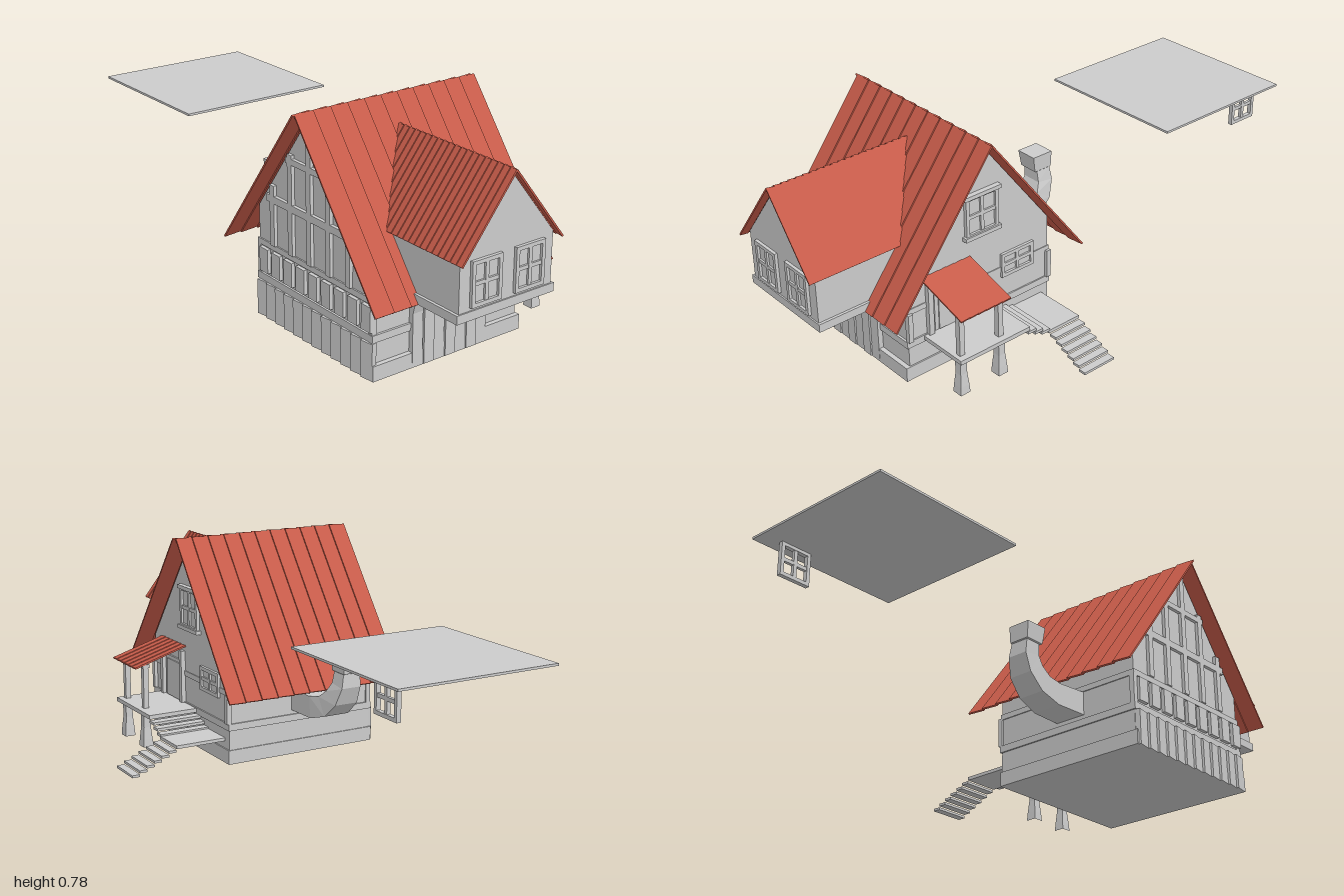
import * as THREE from 'three';

const grey = new THREE.MeshStandardMaterial({ color: 0xcccccc, flatShading: true });
const red = new THREE.MeshStandardMaterial({ color: 0xc85c4a, flatShading: true });

function add(parent, name, geo, mat = grey) {
  const m = new THREE.Mesh(geo, mat);
  m.name = name;
  parent.add(m);
  return m;
}

// Box given by its min and max on each axis
function box(parent, name, x0, x1, y0, y1, z0, z1, mat = grey) {
  const m = add(parent, name, new THREE.BoxGeometry(x1 - x0, y1 - y0, z1 - z0), mat);
  m.position.set((x0 + x1) / 2, (y0 + y1) / 2, (z0 + z1) / 2);
  return m;
}

function group(parent, name) {
  const g = new THREE.Group();
  g.name = name;
  parent.add(g);
  return g;
}

const shapeOf = pts => new THREE.Shape(pts.map(p => new THREE.Vector2(...p)));
const extrude = (pts, depth) => new THREE.ExtrudeGeometry(shapeOf(pts), { depth, bevelEnabled: false });
// Profile in (z, y) extruded from x0 to x1
const extrudeX = (pts, x0, x1) => extrude(pts, x1 - x0).rotateY(-Math.PI / 2).translate(x1, 0, 0);

// Framed window with crossing bars, facing +z before it is turned
function makeWindow(parent, name, w, h, x, y, z, turn = 0, glazed = true, sill = false) {
  const g = group(parent, name);
  const t = 0.013, d = 0.008;
  for (const s of [-1, 1]) {
    const cx = s * (w - t) / 2, cy = s * (h - t) / 2;
    box(g, 'windowSide', cx - t / 2, cx + t / 2, -h / 2, h / 2, -d, d);
    box(g, 'windowRail', -w / 2, w / 2, cy - t / 2, cy + t / 2, -d, d);
  }
  box(g, 'windowMullion', -t / 2, t / 2, -h / 2, h / 2, -d * 0.8, d * 0.8);
  box(g, 'windowBar', -w / 2, w / 2, -t / 2, t / 2, -d * 0.7, d * 0.7);
  if (glazed) box(g, 'windowPane', -w / 2, w / 2, -h / 2, h / 2, -d, -d * 0.1);
  if (sill) for (const s of [-1, 1])
    box(g, 'windowSill', -w / 2 - 0.008, w / 2 + 0.008, s * h / 2 - 0.007, s * h / 2 + 0.007, -d, d + 0.006);
  g.position.set(x, y, z);
  g.rotation.y = turn;
  return g;
}

// Thin board between two points in the (u, y) plane; along is the board's width axis, 'x' or 'z'
function board(parent, name, a, b, at, width, along, tilt) {
  const len = Math.hypot(b[0] - a[0], b[1] - a[1]);
  const ang = Math.atan2(b[1] - a[1], b[0] - a[0]);
  const geo = new THREE.BoxGeometry(len, 0.006, width);
  geo.rotateX(tilt).rotateZ(ang).translate((a[0] + b[0]) / 2, (a[1] + b[1]) / 2, 0);
  if (along === 'x') geo.rotateY(-Math.PI / 2);
  geo.translate(along === 'x' ? at : 0, 0, along === 'x' ? 0 : at);
  return add(parent, name, geo, red);
}

const RIDGE_Y = 0.778, SLOPE = 0.525 / 0.4;
const roofY = z => RIDGE_Y - Math.abs(z - 0.4) * SLOPE;

function buildBody(root) {
  const g = group(root, 'house');
  const wallTop = roofY(0.71) - 0.012;
  add(g, 'walls', extrudeX([[0.11, 0], [0.71, 0], [0.71, wallTop], [0.4, RIDGE_Y - 0.012], [0.11, roofY(0.11) - 0.012]], -0.445, 0.145));
  box(g, 'plinth', -0.455, 0.15, 0, 0.052, 0.106, 0.727);
  box(g, 'band', -0.452, 0.15, 0.125, 0.15, 0.104, 0.718);
  box(g, 'upperBand', -0.45, 0.148, 0.25, 0.27, 0.106, 0.714);
  for (const x of [-0.45, 0.14]) for (const z of [0.104, 0.697])
    box(g, 'cornerPost', x, x + 0.018, 0.15, 0.255, z, z + 0.018);

  // Leaning cladding boards and timber frame on the -x wall
  const n = 12, pitch = 0.61 / n;
  for (let i = 0; i < n; i++) {
    const p = box(g, 'cladding', -0.459, -0.441, 0, 0.125, 0, pitch * 0.96);
    p.position.z = 0.112 + pitch * (i + 0.5);
    p.rotation.y = 0.16;
  }
  for (let i = 0; i < 9; i++) {
    const z = 0.125 + i * 0.068;
    box(g, 'sidePanel', -0.458, -0.44, 0.16, 0.245, z, z + 0.046);
  }
  for (const z of [0.2, 0.3, 0.4, 0.5, 0.6])
    box(g, 'timberStud', -0.457, -0.44, 0.27, roofY(z) - 0.035, z - 0.012, z + 0.012);
  box(g, 'timberBeam', -0.457, -0.44, 0.42, 0.445, 0.17, 0.63);
  box(g, 'timberBeam', -0.457, -0.44, 0.58, 0.6, 0.28, 0.52);

  // Windows and door on the +x wall
  makeWindow(g, 'gableWindow', 0.135, 0.15, 0.15, 0.515, 0.4, Math.PI / 2, true, true);
  makeWindow(g, 'sideWindow', 0.14, 0.09, 0.147, 0.2, 0.25, Math.PI / 2).position.y = 0.275;
  box(g, 'doorFrame', 0.14, 0.152, 0.15, 0.305, 0.465, 0.605);
  box(g, 'door', 0.14, 0.156, 0.15, 0.292, 0.48, 0.59);
}

function buildRoof(root) {
  const g = group(root, 'mainRoof');
  const n = 11, w = 0.715 / n;
  for (const s of [-1, 1]) for (let i = 0; i < n; i++) {
    const x = (s > 0 ? -0.503 : -0.513) + w * (i + 0.5);
    board(g, 'roofBoard', [0.4, RIDGE_Y], [0.4 + s * 0.4, 0.255], x, w * 1.06, 'x', 0.07 * s);
  }
}

function buildDormer(root) {
  const g = group(root, 'dormer');
  add(g, 'dormerWalls', extrude([[-0.335, 0.262], [0.035, 0.262], [0.035, 0.457], [-0.15, 0.69], [-0.335, 0.457]], 0.49).translate(0, 0, 0.48));
  box(g, 'dormerSill', -0.345, 0.045, 0.256, 0.285, 0.7, 0.975);
  for (const x of [-0.235, -0.0625]) {
    makeWindow(g, 'dormerWindow', 0.118, 0.148, x, 0.37, 0.973);
  }
  // Roof strips, each cut where it meets the main slope
  const n = 20, z0 = 0.465, w = (0.998 - z0) / n;
  for (const s of [-1, 1]) for (let i = 0; i < n; i++) {
    const z = z0 + w * (i + 0.5);
    const low = Math.max(0.445, roofY(z) - 0.012);
    const t = Math.min(1, (0.7 - low) / 0.255);
    if (t > 0.02) board(g, 'dormerRoofBoard', [-0.15, 0.698], [-0.15 + s * 0.2 * t, 0.698 - 0.253 * t], z, w * 1.08, 'z', 0.12);
  }
  // Flared boards carrying the dormer
  const pitch = 0.305 / 7;
  for (let i = 0; i < 7; i++) {
    const o = 0.728 + (i % 2) * 0.004, x = -0.303 + i * pitch;
    add(g, 'bracketBoard', extrudeX([[0.7, 0.003], [o, 0.003], [o, 0.185], [o + 0.008, 0.215],
      [o + 0.028, 0.242], [o + 0.07, 0.258], [0.7, 0.258]], x + 0.001, x + pitch - 0.002));
  }
}

function buildPorch(root) {
  const g = group(root, 'porch');
  box(g, 'deck', 0.145, 0.34, 0.132, 0.147, 0.36, 0.65);
  for (const z of [0.465, 0.625]) {
    // Square flared leg with a slim post above
    const profile = [[0.028, 0], [0.025, 0.03], [0.019, 0.075], [0.019, 0.135]];
    const leg = add(g, 'porchLeg', new THREE.LatheGeometry(profile.map(p => new THREE.Vector2(...p)), 4).rotateY(Math.PI / 4));
    leg.position.set(0.307, 0, z);
    box(g, 'porchPost', 0.297, 0.317, 0.135, 0.312, z - 0.01, z + 0.01);
    box(g, 'postCap', 0.294, 0.32, 0.3, 0.313, z - 0.014, z + 0.014);
    box(g, 'wallPost', 0.145, 0.162, 0.147, 0.345, z - 0.01, z + 0.01);
  }
  for (let i = 0; i < 6; i++)
    board(g, 'porchRoofBoard', [0.145, 0.364], [0.35, 0.303], 0.45 + 0.2 * (i + 0.5) / 6, 0.036, 'z', 0.08);
  // Steps down to the landing, then the outer stair
  for (let i = 0; i < 3; i++)
    box(g, 'sideStep', 0.147, 0.338, 0.117 - i * 0.0145, 0.127 - i * 0.0145, 0.33 - i * 0.03, 0.365 - i * 0.03);
  box(g, 'landing', 0.147, 0.34, 0.08, 0.092, 0.14, 0.275);
  for (let i = 0; i < 6; i++)
    box(g, 'stairStep', 0.341 + i * 0.0285, 0.37 + i * 0.0285, 0.068 - i * 0.0132, 0.077 - i * 0.0132, 0.14, 0.272);
}

// Square bent stovepipe: cross-sections swept along a short path in the z-y plane
function buildChimney(root) {
  const g = group(root, 'chimney');
  // x, y, z, half width, half height, bend angle
  const rings = [
    [-0.17, 0.208, 0.12, 0.06, 0.042, 0], [-0.17, 0.205, -0.01, 0.055, 0.04, 0.1],
    [-0.173, 0.222, -0.075, 0.05, 0.038, 0.55], [-0.177, 0.262, -0.122, 0.045, 0.036, 1.0],
    [-0.183, 0.31, -0.142, 0.038, 0.033, 1.45], [-0.188, 0.355, -0.14, 0.034, 0.03, 1.57],
    [-0.19, 0.357, -0.137, 0.038, 0.038, 1.57], [-0.192, 0.417, -0.134, 0.042, 0.043, 1.57],
  ];
  const pos = [], idx = [];
  rings.forEach(([x, y, z, w, h, a], r) => {
    for (const [u, v] of [[-1, -1], [1, -1], [1, 1], [-1, 1]])
      pos.push(x + u * w, y + v * h * Math.cos(a), z + v * h * Math.sin(a));
    for (let k = 0; r && k < 4; k++) {
      const b = r * 4 + k, c = r * 4 + (k + 1) % 4;
      idx.push(b - 4, b, c - 4, c - 4, b, c);
    }
  });
  const e = pos.length / 3 - 4;
  idx.push(e, e + 2, e + 1, e, e + 3, e + 2);
  const geo = new THREE.BufferGeometry();
  geo.setAttribute('position', new THREE.Float32BufferAttribute(pos, 3));
  geo.setIndex(idx);
  geo.computeVertexNormals();
  add(g, 'stovepipe', geo, Object.assign(grey.clone(), { side: THREE.DoubleSide }));
}

export function createModel() {
  const root = new THREE.Group();
  root.name = 'cottage';
  buildBody(root);
  buildRoof(root);
  buildDormer(root);
  buildPorch(root);
  buildChimney(root);
  // Separate flat panel behind the house with a loose window frame below it
  box(root, 'flatPanel', -0.39, 0.2, 0.541, 0.549, -1, -0.41);
  makeWindow(root, 'looseWindow', 0.118, 0.12, 0.145, 0.483, -0.87, Math.PI / 2, false);
  return root;
}
